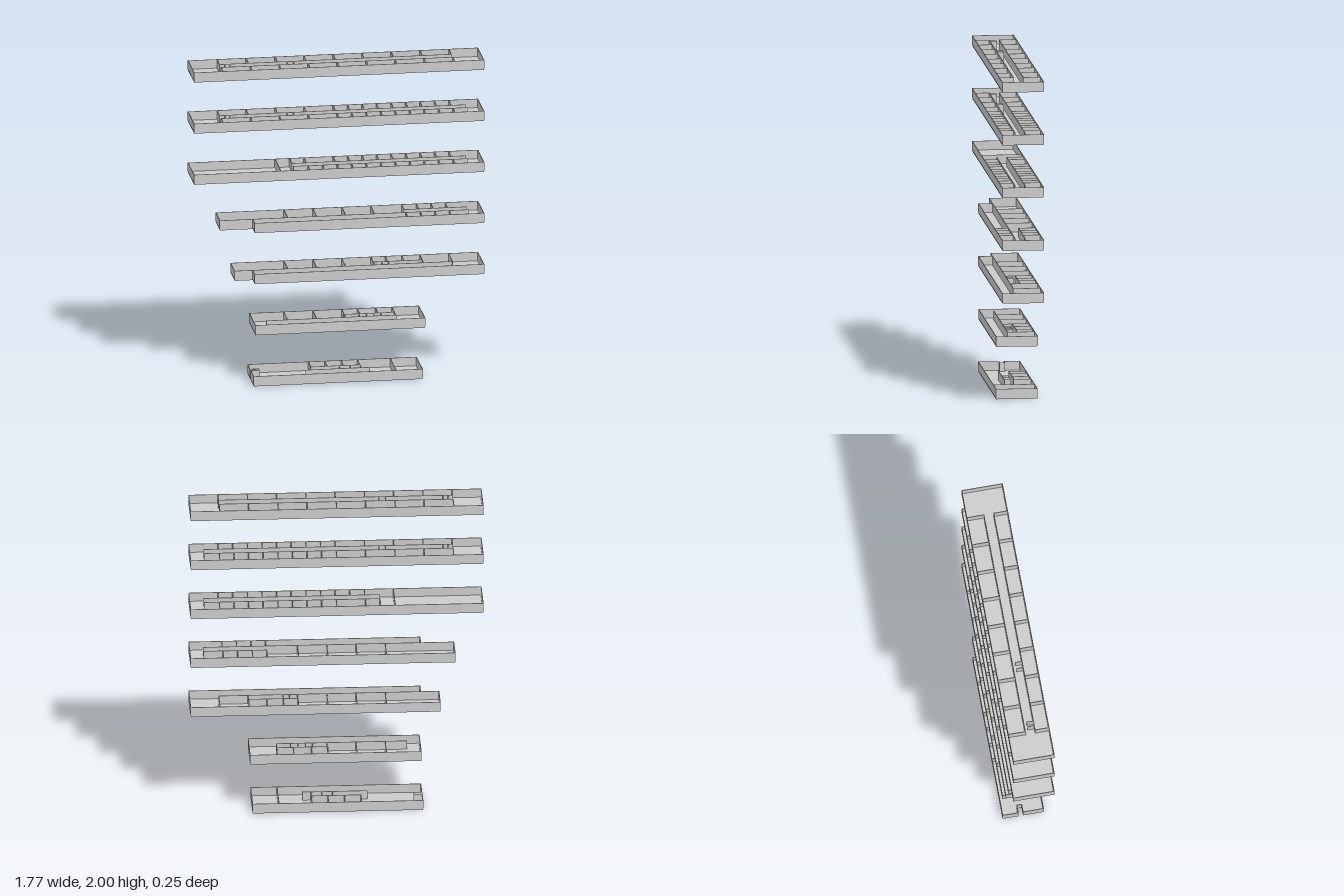
import * as THREE from 'three';

const T = 0.004;              // wall thickness
const H = 0.063;              // storey height
const SLAB = 0.008;           // floor slab thickness
const STEP = 0.323;           // distance between storeys
const END = 0.885;            // half length of the long storeys
const SIDE = 0.125;           // half depth
const ROOM = 0.177;           // pitch of the large rooms
const CELL = ROOM / 2;        // pitch of the small rooms
const CORRIDOR_BACK = -0.02;
const CORRIDOR_FRONT = 0.04;

// depth bands [from z, to z] that cross walls span
const BACK = [-SIDE, CORRIDOR_BACK];
const FRONT = [CORRIDOR_FRONT, SIDE];
const DEEP = [-SIDE, CORRIDOR_FRONT];
const FULL = [-SIDE, SIDE];
const CLOSET = [0, CORRIDOR_FRONT];

const material = new THREE.MeshStandardMaterial({ color: 0xcccccc, flatShading: true });

function addWall(group, name, xa, za, xb, zb) {
  const length = Math.hypot(xb - xa, zb - za);
  const mesh = new THREE.Mesh(new THREE.BoxGeometry(length + T, H - SLAB, T), material);
  mesh.name = name;
  mesh.position.set((xa + xb) / 2, (H + SLAB) / 2, (za + zb) / 2);
  mesh.rotation.y = -Math.atan2(zb - za, xb - xa);
  group.add(mesh);
}

// slab with outer walls; the outline may have a cut corner or an end notch
function addShell(group, x0, x1, cornerX = x0, notched = false) {
  const outline = [[x0, -SIDE], [x1, -SIDE], [x1, SIDE], [cornerX, SIDE]];
  if (cornerX !== x0) outline.push([cornerX, CORRIDOR_FRONT], [x0, CORRIDOR_FRONT]);
  if (notched) {
    const inner = x0 + 0.05;
    outline.push([x0, 0], [inner, 0], [inner, -0.03], [x0, -0.03]);
  }
  const shape = new THREE.Shape(outline.map(([x, z]) => new THREE.Vector2(x, -z)));
  const geometry = new THREE.ExtrudeGeometry(shape, { depth: SLAB, bevelEnabled: false });
  const slab = new THREE.Mesh(geometry.rotateX(-Math.PI / 2), material);
  slab.name = 'floorSlab';
  group.add(slab);
  outline.forEach(([x, z], i) => {
    const [nx, nz] = outline[(i + 1) % outline.length];
    addWall(group, 'outerWall', x, z, nx, nz);
  });
}

// count cross walls within a depth band, starting at x
function addRow(group, [z0, z1], x, count = 1, pitch = ROOM) {
  for (let i = 0; i < count; i++) {
    addWall(group, 'crossWall', x + i * pitch, z0, x + i * pitch, z1);
  }
}

function addCorridorWall(group, z, x0, x1) {
  addWall(group, 'corridorWall', x0, z, x1, z);
}

function addCorridor(group, x0, x1) {
  addCorridorWall(group, CORRIDOR_BACK, x0, x1);
  addCorridorWall(group, CORRIDOR_FRONT, x0, x1);
}

// storeys from the ground up
const storeys = [
  function entrance(g) {
    addShell(g, -0.52, 0.51, -0.52, true);
    addRow(g, BACK, -0.15, 4, 0.1);
    addRow(g, CLOSET, 0.02, 3, 0.065);
    addRow(g, FULL, 0.35);
    addCorridorWall(g, CORRIDOR_BACK, -0.15, 0.15);
    addCorridorWall(g, CORRIDOR_FRONT, -0.19, 0.2);
  },
  function shortStorey(g) {
    addShell(g, -0.51, 0.525);
    addRow(g, DEEP, -0.3, 3);
    addRow(g, BACK, 0.15, 2, 0.11);
    addRow(g, CLOSET, 0.14, 4, 0.045);
    addRow(g, DEEP, 0.36);
    addCorridorWall(g, CORRIDOR_FRONT, -0.43, 0.36);
    addCorridorWall(g, CORRIDOR_BACK, 0.05, 0.36);
  },
  function lowerStepped(g) {
    addShell(g, -0.625, END, -0.515);
    addRow(g, DEEP, -0.3, 4);
    addRow(g, BACK, 0.32, 2, 0.1);
    addRow(g, CLOSET, 0.28, 2, 0.04);
    addRow(g, DEEP, 0.53, 2);
    addCorridorWall(g, CORRIDOR_FRONT, -0.515, 0.7);
    addCorridorWall(g, CORRIDOR_BACK, 0.23, 0.53);
  },
  function upperStepped(g) {
    addShell(g, -0.715, END, -0.515);
    addRow(g, DEEP, -0.3, 4);
    addRow(g, BACK, 0.42, 4, CELL);
    addRow(g, FRONT, 0.42, 4, CELL);
    addCorridorWall(g, CORRIDOR_FRONT, -0.515, 0.42);
    addCorridor(g, 0.42, 0.8);
  },
  function hallAndSmallRooms(g) {
    addShell(g, -END, END);
    addRow(g, FULL, -4 * CELL);
    addRow(g, BACK, -3 * CELL, 2, CELL);
    addRow(g, BACK, 0, 9, CELL);
    addRow(g, FRONT, -2 * CELL, 11, CELL);
    addCorridor(g, -3 * CELL, 9 * CELL);
  },
  function mixedRooms(g) {
    addShell(g, -END, END);
    for (const band of [BACK, FRONT]) {
      addRow(g, band, -4 * ROOM, 4);
      addRow(g, band, 0, 9, CELL);
    }
    addRow(g, CLOSET, -0.68, 2, 0.03);
    addRow(g, CLOSET, -0.3, 2, 0.04);
    addCorridor(g, -4 * ROOM, 9 * CELL);
  },
  function largeRooms(g) {
    addShell(g, -END, END);
    for (const band of [BACK, FRONT]) addRow(g, band, -4 * ROOM, 9);
    addRow(g, CLOSET, -0.68, 2, 0.03);
    addRow(g, CLOSET, -0.3, 2, 0.04);
    addCorridor(g, -4 * ROOM, 4 * ROOM);
  },
];

export function createModel() {
  const model = new THREE.Group();
  model.name = 'stackedFloorPlans';
  storeys.forEach((build, i) => {
    const group = new THREE.Group();
    group.name = build.name;
    group.position.y = i * STEP;
    build(group);
    model.add(group);
  });
  return model;
}
